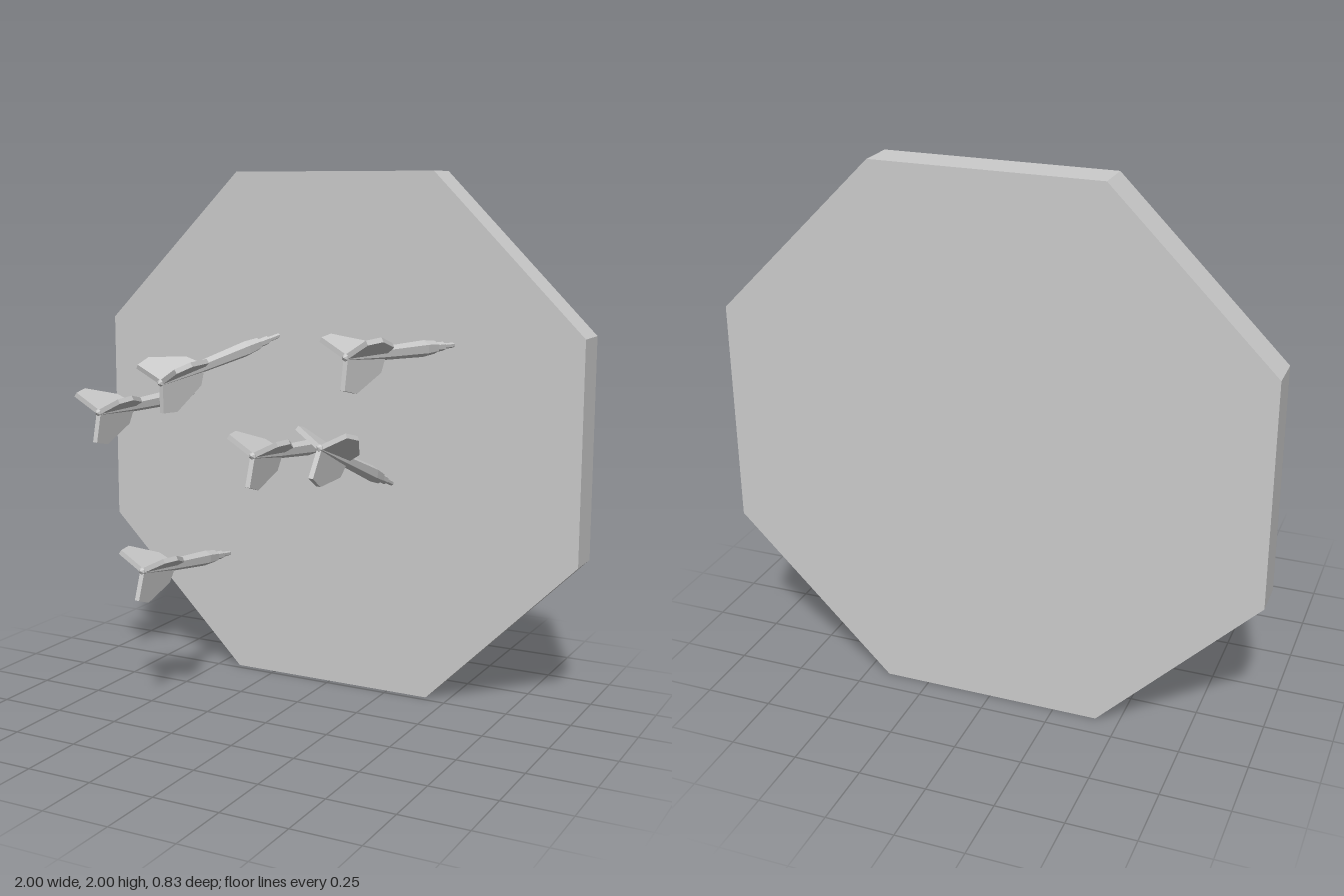
import * as THREE from 'three';

const material = new THREE.MeshStandardMaterial({ color: 0xcccccc, flatShading: true });
const BOARD_FRONT = -0.275;
const BOARD_DEPTH = 0.14;
const DART_LENGTH = 0.68;

function part(name, geometry) {
  const mesh = new THREE.Mesh(geometry, material);
  mesh.name = name;
  return mesh;
}

// Octagonal board standing on one flat side
function createBoard() {
  const radius = 1 / Math.cos(Math.PI / 8);
  const geometry = new THREE.CylinderGeometry(radius, radius, BOARD_DEPTH, 8)
    .rotateY(Math.PI / 8)
    .rotateX(Math.PI / 2)
    .translate(0, 1, BOARD_FRONT - BOARD_DEPTH / 2);
  return part('board', geometry);
}

// Faceted needle, collar and barrel turned around +z, point at the origin
function createShaftGeometry() {
  const profile = [
    [0, -0.02], [0.009, -0.02], [0.011, 0.07], [0.017, 0.07], [0.017, 0.12],
    [0.024, 0.125], [0.03, 0.2], [0.023, 0.47], [0.013, 0.67], [0, 0.68],
  ].map(([r, z]) => new THREE.Vector2(r, z));
  return new THREE.LatheGeometry(profile, 6).rotateX(Math.PI / 2);
}

// One flight: outline in radius and length along the shaft
function createFinGeometry() {
  const outline = [[0, 0.44], [0.022, 0.45], [0.065, 0.47], [0.125, 0.61], [0.11, 0.68], [0, 0.665]];
  const shape = new THREE.Shape(outline.map(([r, z]) => new THREE.Vector2(r, z)));
  const thickness = 0.018;
  return new THREE.ExtrudeGeometry(shape, { depth: thickness, bevelEnabled: false })
    .rotateX(Math.PI / 2)
    .translate(0, thickness / 2, 0);
}

export function createModel() {
  const model = new THREE.Group();
  model.name = 'dartboardWithDarts';
  model.add(createBoard());

  const shaftGeometry = createShaftGeometry();
  const finGeometry = createFinGeometry();

  // Each dart: point x, y on the board, tail x, y, and roll in degrees
  const darts = [
    [-0.625, 1.12, -0.615, 1.13, 26],
    [-0.46, 0.47, -0.44, 0.555, 26],
    [-0.23, 1.37, -0.36, 1.25, 30],
    [0.0, 0.96, 0.03, 1.025, 26],
    [0.26, 0.83, 0.27, 1.07, 26],
    [0.5, 1.37, 0.38, 1.385, 30],
  ];

  darts.forEach(([px, py, tx, ty, roll], i) => {
    const dart = new THREE.Group();
    dart.name = `dart${i + 1}`;
    dart.add(part('shaft', shaftGeometry));
    for (let k = 0; k < 3; k++) {
      const fin = part('flight', finGeometry);
      fin.rotation.z = THREE.MathUtils.degToRad(roll + k * 120);
      dart.add(fin);
    }
    // Aim the shaft from its point towards its tail
    const dx = tx - px;
    const dy = ty - py;
    const dz = Math.sqrt(DART_LENGTH ** 2 - dx * dx - dy * dy);
    const direction = new THREE.Vector3(dx, dy, dz).normalize();
    dart.quaternion.setFromUnitVectors(new THREE.Vector3(0, 0, 1), direction);
    dart.position.set(px, py, BOARD_FRONT);
    model.add(dart);
  });

  return model;
}
